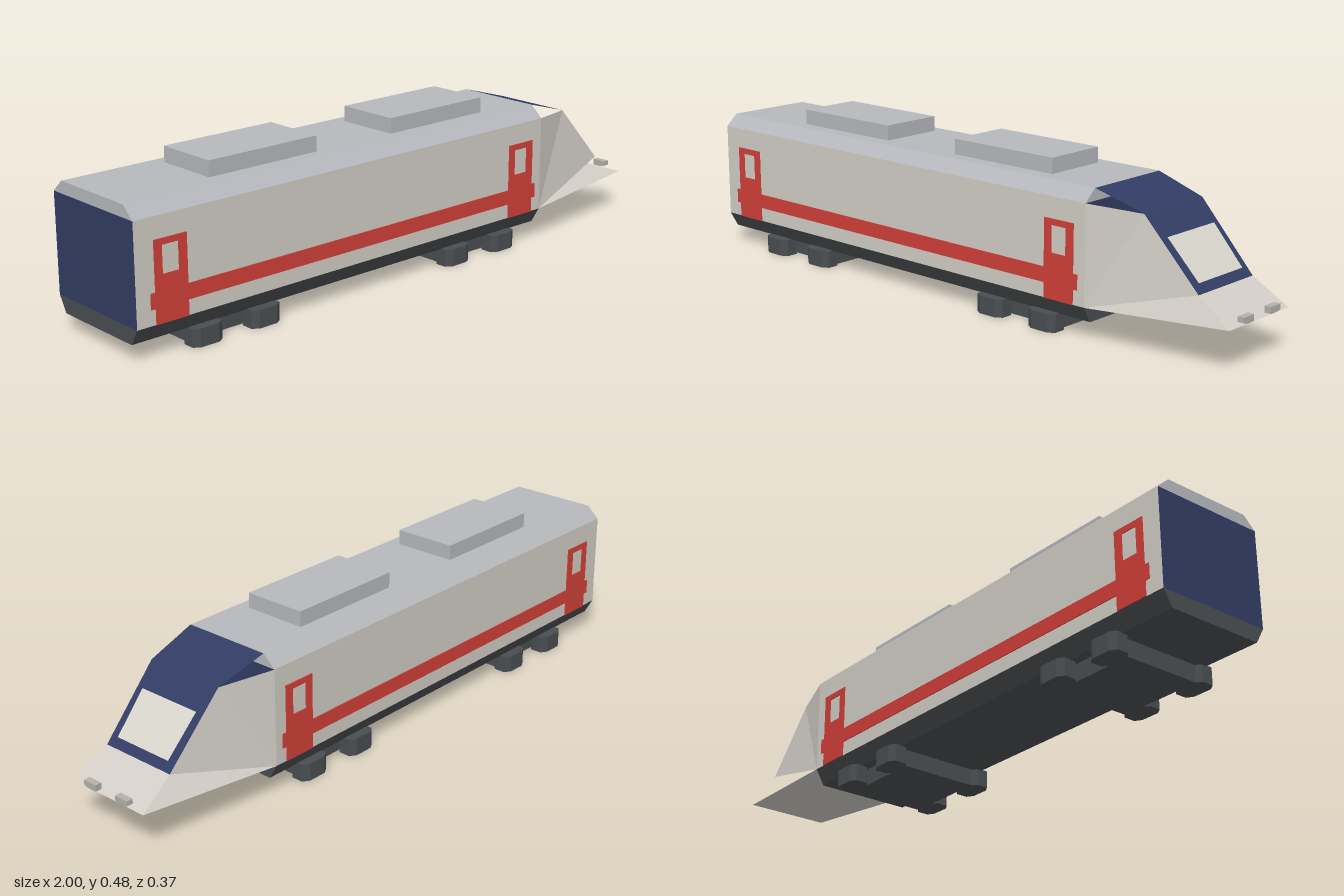
import * as THREE from 'three';

const paint = (name, color, side = THREE.FrontSide) => {
  const m = new THREE.MeshStandardMaterial({ color, side });
  m.name = name;
  return m;
};

const shapeOf = (pts) => new THREE.Shape(pts.map(([x, y]) => new THREE.Vector2(x, y)));
const extrude = (shape, depth) => new THREE.ExtrudeGeometry(shape, { depth, bevelEnabled: false });

// Flat faces from lists of corners, counter-clockwise seen from outside
function faces(polys) {
  const pos = [];
  for (const p of polys) {
    for (let i = 1; i < p.length - 1; i++) pos.push(...p[0], ...p[i], ...p[i + 1]);
  }
  const g = new THREE.BufferGeometry();
  g.setAttribute('position', new THREE.Float32BufferAttribute(pos, 3));
  g.computeVertexNormals();
  return g;
}

export function createModel() {
  const train = new THREE.Group();
  train.name = 'train';
  const cream = paint('cream body', 0xd2cdc6);
  const navy = paint('navy', 0x323c64);
  const grey = paint('roof grey', 0xb6b8bd);
  const dark = paint('dark grey', 0x4a4e51);
  const red = paint('red', 0xd23f38);
  const glass = paint('pale window', 0xd8d5cc);
  const lamp = paint('lamp grey', 0xb4b2aa);
  const add = (name, geometry, material, parent = train) => {
    const m = new THREE.Mesh(geometry, material);
    m.name = name;
    parent.add(m);
    return m;
  };

  // Carriage: stacked trapezoid prisms running along x
  const X0 = -1, X1 = 0.54, W = 0.183;
  const prism = (name, y0, w0, y1, w1, material) => {
    const g = extrude(shapeOf([[-w0, y0], [w0, y0], [w1, y1], [-w1, y1]]), X1 - X0);
    g.rotateY(Math.PI / 2).translate(X0, 0, 0);
    return add(name, g, material);
  };
  prism('chassis', 0.052, 0.155, 0.1, W, dark);
  prism('body', 0.1, W, 0.396, W, [navy, cream]);
  prism('roof', 0.396, W, 0.432, 0.143, grey);

  // Roof equipment boxes
  for (const [a, b] of [[-0.695, -0.315], [-0.03, 0.35]]) {
    const box = new THREE.BoxGeometry(b - a, 0.047, 0.202);
    add('roofUnit', box.translate((a + b) / 2, 0.4565, 0), grey);
  }

  // Red doors joined by a stripe, with window openings
  const livery = shapeOf([
    [-0.94, 0.1], [-0.835, 0.1], [-0.835, 0.145], [0.395, 0.145], [0.395, 0.1], [0.5, 0.1],
    [0.5, 0.145], [0.515, 0.145], [0.515, 0.19], [0.5, 0.19], [0.5, 0.333], [0.395, 0.333],
    [0.395, 0.19], [-0.835, 0.19], [-0.835, 0.333], [-0.94, 0.333], [-0.94, 0.19],
    [-0.955, 0.19], [-0.955, 0.145], [-0.94, 0.145],
  ]);
  for (const x of [-0.915, 0.42]) {
    const hole = [[x, 0.235], [x, 0.315], [x + 0.053, 0.315], [x + 0.053, 0.235]];
    livery.holes.push(new THREE.Path(hole.map(([a, b]) => new THREE.Vector2(a, b))));
  }
  for (const s of [1, -1]) {
    const g = extrude(livery, 0.003);
    g.translate(0, 0, s > 0 ? W : -W - 0.003);
    add(s > 0 ? 'leftDoorsAndStripe' : 'rightDoorsAndStripe', g, red);
  }

  // Nose corner points for one side
  const P = (x, y, z) => (s) => [x, y, s * z];
  const A = P(X1, 0.396, W), B = P(X1, 0.1, W), R = P(X1, 0.432, 0.143);
  const C = P(0.7, 0.385, 0.131), D = P(0.88, 0.195, 0.125), E = P(0.99, 0.125, 0.138);
  const across = (p, q) => [p(1), q(1), q(-1), p(-1)];
  for (const s of [1, -1]) {
    const tris = [[A(s), B(s), C(s)], [B(s), D(s), C(s)]];
    if (s < 0) tris.forEach((t) => t.reverse());
    add(s > 0 ? 'leftNoseSide' : 'rightNoseSide', faces(tris), cream);
  }
  add('windscreenFrame', faces([across(R, C), across(C, D)]), navy);
  add('hood', faces([across(D, E)]), cream);
  const floorPaint = paint('cream floor', 0xd2cdc6, THREE.DoubleSide);
  add('noseFloor', faces([across(E, B)]), floorPaint);

  // Windscreen pane, just proud of its frame
  add('windscreen', faces([across(P(0.76, 0.327, 0.106), P(0.862, 0.219, 0.1))]), glass);

  // Headlamps
  for (const s of [1, -1]) {
    const shape = shapeOf([[0.039, 0.15], [0.039, 0.131], [0.05, 0.13], [0.075, 0.131], [0.086, 0.135], [0.086, 0.15]]
      .map(([z, y]) => [-s * z, y]));
    const g = extrude(shape, 0.02);
    g.rotateY(Math.PI / 2).translate(0.978, 0, 0);
    add('headlamp', g, lamp);
  }

  // Bogies: a slab with four faceted wheel lobes
  const edge = [];
  for (const c of [-0.1, 0.1]) {
    edge.push([c - 0.035, 0.125], [c - 0.05, 0.137], [c - 0.05, 0.174], [c - 0.03, 0.187],
      [c + 0.03, 0.187], [c + 0.05, 0.174], [c + 0.05, 0.137], [c + 0.035, 0.125]);
  }
  const outline = [...edge, ...edge.map(([x, z]) => [-x, -z])];
  for (const x of [-0.67, 0.28]) {
    const g = extrude(shapeOf(outline), 0.054);
    g.rotateX(-Math.PI / 2).translate(x, 0, 0);
    add('bogie', g, dark);
  }
  return train;
}
